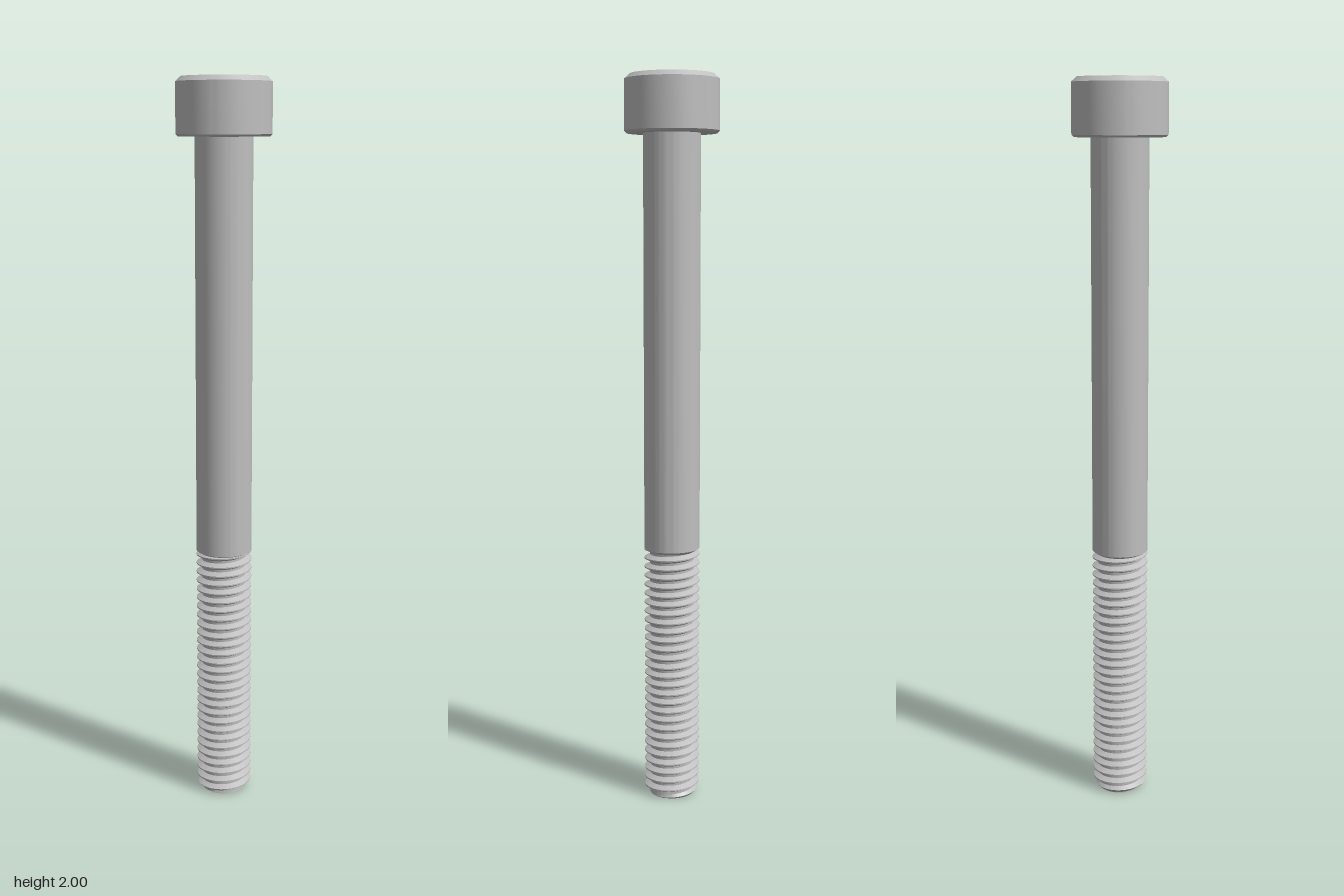
import * as THREE from 'three';
import { toCreasedNormals } from 'three/addons/utils/BufferGeometryUtils.js';

const SEGMENTS = 72;
const TURN = Math.PI * 2;
const HEX_ANGLE = 0.08; // angle of the first hexagon corner

// Overall sizes
const SHANK_R = 0.077, ROOT_R = 0.0615, HEAD_R = 0.127, SOCKET_R = 0.0745;
const THREAD_TOP = 0.72, HEAD_BASE = 1.848, SOCKET_FLOOR = 1.923, TOP = 2;
const PITCH = 0.0257;

const crease = (geometry) => toCreasedNormals(geometry, Math.PI / 6);

// Turned part from [radius, height] points
function turned(points) {
  const profile = points.map(([r, y]) => new THREE.Vector2(r, y));
  return crease(new THREE.LatheGeometry(profile, SEGMENTS, HEX_ANGLE, TURN));
}

// Skin over stacked rings; ring(row, angle) gives [radius, height]
function ringSkin(rows, ring) {
  const positions = [], index = [], cols = SEGMENTS + 1;
  for (let j = 0; j < rows; j++) {
    for (let i = 0; i < cols; i++) {
      const t = (i / SEGMENTS) * TURN;
      const [r, y] = ring(j, t);
      positions.push(r * Math.sin(t + HEX_ANGLE), y, r * Math.cos(t + HEX_ANGLE));
      if (j < rows - 1 && i < SEGMENTS) {
        const a = j * cols + i, b = a + cols;
        index.push(a, a + 1, b + 1, a, b + 1, b);
      }
    }
  }
  const geometry = new THREE.BufferGeometry();
  geometry.setAttribute('position', new THREE.Float32BufferAttribute(positions, 3));
  geometry.setIndex(index);
  geometry.computeVertexNormals();
  return crease(geometry);
}

// Hexagonal recess with a conical lead-in
function socketGeometry() {
  const apothem = SOCKET_R * Math.cos(Math.PI / 6);
  return ringSkin(4, (row, t) => {
    const hexR = apothem / Math.cos((t % (Math.PI / 3)) - Math.PI / 6);
    return [
      [SOCKET_R, TOP],
      [hexR, TOP - (SOCKET_R - hexR) * 0.58],
      [hexR, SOCKET_FLOOR],
      [0, SOCKET_FLOOR],
    ][row];
  });
}

// Right-hand helical thread, trimmed by the tip chamfer
function threadGeometry() {
  const profile = [[0, ROOT_R], [0.25, ROOT_R], [0.56, SHANK_R], [0.69, SHANK_R]];
  const turns = Math.ceil(THREAD_TOP / PITCH) + 1;
  return ringSkin(turns * profile.length + 1, (row, t) => {
    const [step, r] = profile[row % profile.length];
    const turn = Math.floor(row / profile.length);
    const y = THREE.MathUtils.clamp((turn + step + t / TURN - 1) * PITCH, 0, THREAD_TOP);
    return [Math.min(r, 0.0625 + y * 0.75), y];
  });
}

export function createModel() {
  const steel = new THREE.MeshStandardMaterial({ color: 0xbfbfbf });
  steel.name = 'steel grey';

  const bolt = new THREE.Group();
  bolt.name = 'socketHeadBolt';
  const add = (name, geometry) => {
    const mesh = new THREE.Mesh(geometry, steel);
    mesh.name = name;
    bolt.add(mesh);
  };

  // Cylindrical head, chamfered at the top and slightly at the bottom
  add('head', turned([
    [SHANK_R, HEAD_BASE], [0.121, HEAD_BASE], [HEAD_R, HEAD_BASE + 0.006],
    [HEAD_R, TOP - 0.013], [0.113, TOP], [SOCKET_R, TOP],
  ]));
  add('hexSocket', socketGeometry());

  // Plain shank, tapering into the thread
  add('shank', turned([
    [ROOT_R, THREAD_TOP - 0.01], [SHANK_R, THREAD_TOP], [SHANK_R, HEAD_BASE],
  ]));

  // Threaded end and its flat tip
  add('thread', threadGeometry());
  add('tip', turned([[0, 0], [0.0625, 0]]));

  return bolt;
}
